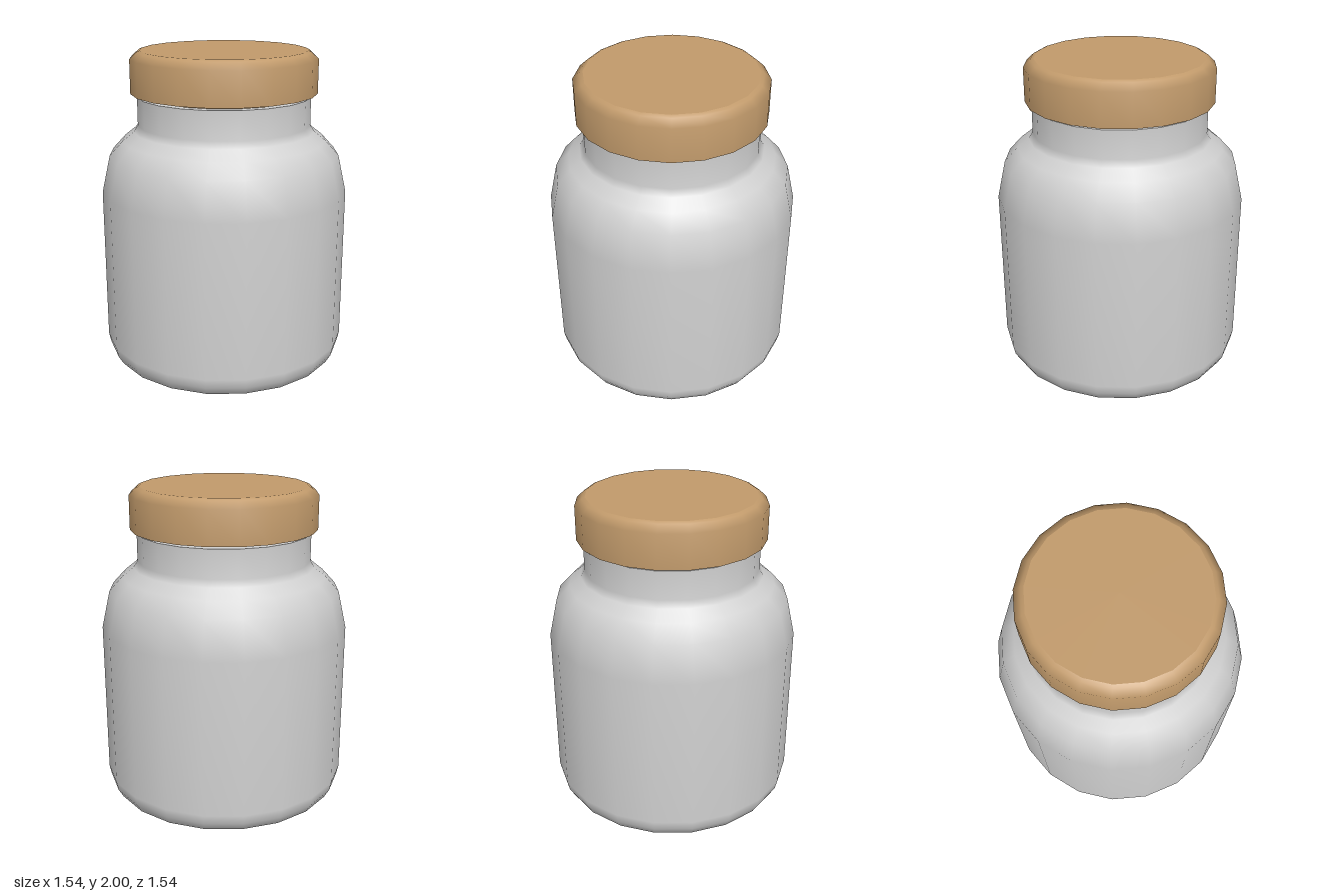
import * as THREE from 'three';

const SIDES = 20;

const jarGrey = new THREE.MeshStandardMaterial({ color: 0xd0d0d0 });
jarGrey.name = 'jarGrey';
const corkTan = new THREE.MeshStandardMaterial({ color: 0xc19a6b });
corkTan.name = 'corkTan';

// Turned part; a repeated profile point makes a sharp edge
function turned(name, profile, material) {
  const points = profile.map(([r, y]) => new THREE.Vector2(r, y));
  const mesh = new THREE.Mesh(new THREE.LatheGeometry(points, SIDES), material);
  mesh.name = name;
  return mesh;
}

export function createModel() {
  const model = new THREE.Group();
  model.name = 'jar';

  // Body with rounded base, shoulder, neck and flat rim
  model.add(turned('body', [
    [0, 0], [0.6, 0], [0.625, 0.004], [0.725, 0.045], [0.757, 0.1], [0.77, 0.16],
    [0.77, 1.13], [0.718, 1.36], [0.635, 1.45], [0.565, 1.505],
    [0.538, 1.545], [0.538, 1.72], [0.538, 1.72], [0.47, 1.72],
  ], jarGrey));

  // Stopper plug inside the neck
  model.add(turned('plug', [[0.488, 1.69], [0.488, 1.75]], corkTan));

  // Wide lid with a soft upper edge
  model.add(turned('lid', [
    [0.47, 1.74], [0.578, 1.74], [0.578, 1.74],
    [0.578, 1.95], [0.535, 1.99], [0.515, 2], [0.515, 2], [0, 2],
  ], corkTan));

  return model;
}
